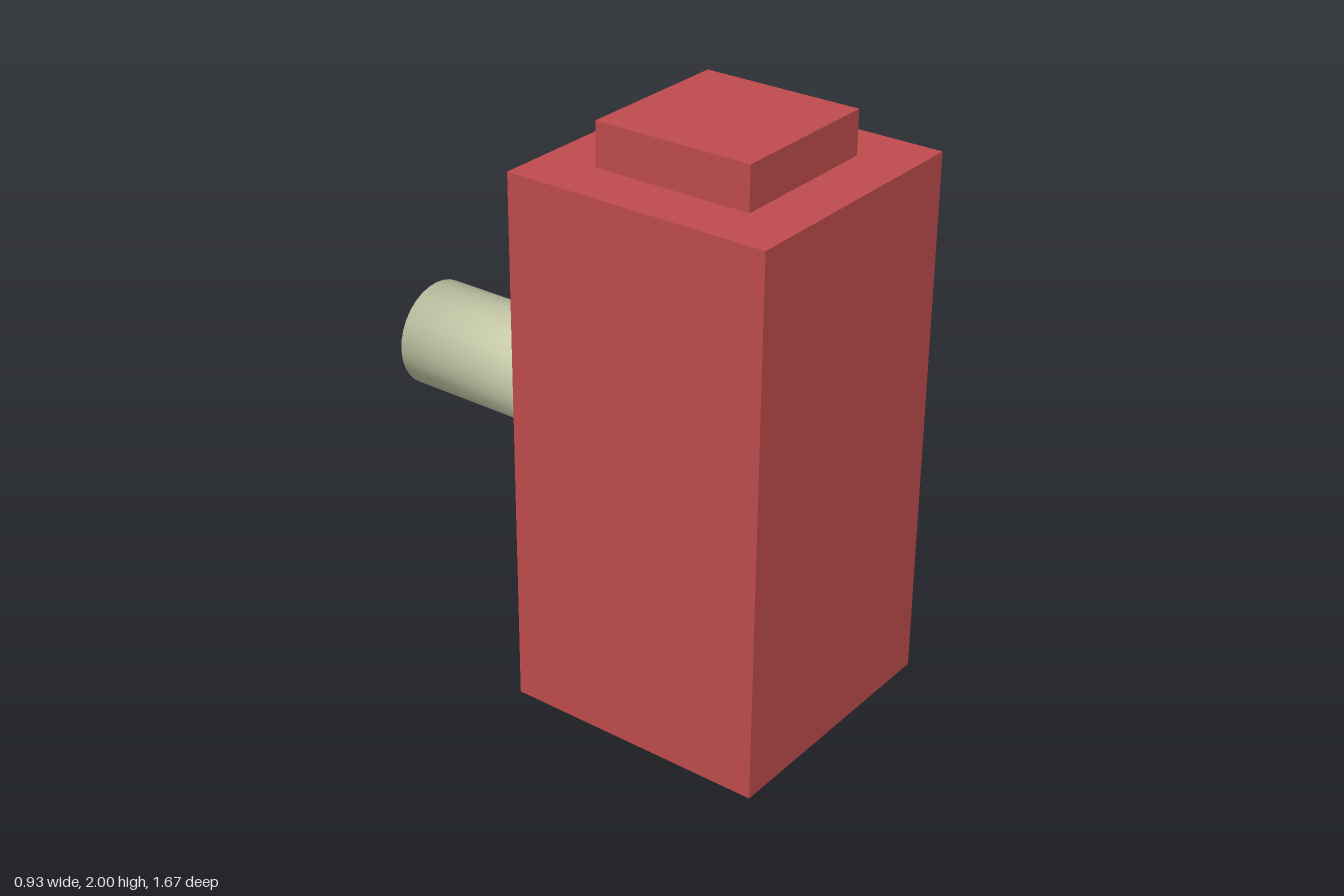
import * as THREE from 'three';

const U = 0.0926; // design unit: the body is 10 x 20 x 10 units

export function createModel() {
  const group = new THREE.Group();
  const red = new THREE.MeshStandardMaterial({ color: 0xc24c4e });
  const cream = new THREE.MeshStandardMaterial({ color: 0xd9dcb8 });

  const add = (name, geometry, material, y, z) => {
    const mesh = new THREE.Mesh(geometry, material);
    mesh.name = name;
    mesh.position.set(0, y, z);
    group.add(mesh);
  };

  // Tall square body with a smaller square cap on top
  add('body', new THREE.BoxGeometry(10 * U, 20 * U, 10 * U), red, 10 * U, 4 * U);
  add('cap', new THREE.BoxGeometry(6 * U, 1.6 * U, 6 * U), red, 20.8 * U, 4 * U);

  // Round peg on the back, shaded softly over its rims
  const peg = new THREE.CylinderGeometry(2 * U, 2 * U, 8 * U, 32);
  const { position, normal } = peg.attributes;
  const n = new THREE.Vector3();
  for (let i = 0; i < position.count; i++) {
    n.fromBufferAttribute(position, i).divide(new THREE.Vector3(2 * U, 4 * U, 2 * U)).normalize();
    normal.setXYZ(i, n.x, n.y, n.z);
  }
  peg.rotateX(Math.PI / 2);
  add('peg', peg, cream, 10 * U, -5 * U);

  return group;
}
